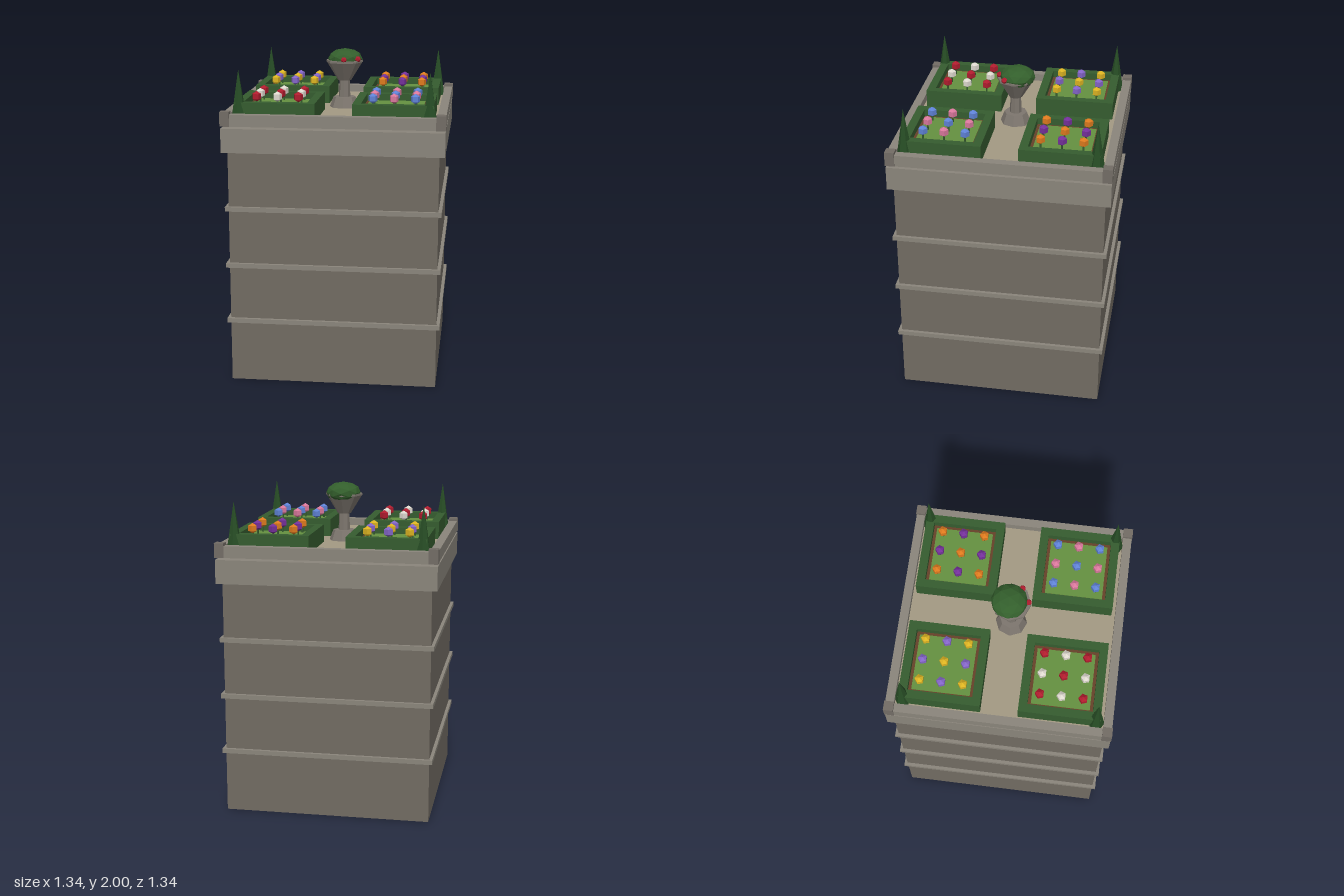
import * as THREE from 'three';

const mat = (color) => new THREE.MeshStandardMaterial({ color, flatShading: true });
const M = {
  wall: mat(0x716b62), trim: mat(0x8a857b), post: mat(0x726c65), deck: mat(0xa39983),
  hedge: mat(0x355c2f), soil: mat(0x664128), grass: mat(0x659040), cypress: mat(0x274d25),
  urn: mat(0x7d766e), shrub: mat(0x335f2c), red: mat(0xb01c2e), white: mat(0xded9cf),
  blue: mat(0x5f82d6), pink: mat(0xd9789c), yellow: mat(0xdcb322), lilac: mat(0x8465c8),
  orange: mat(0xdd7a1e), purple: mat(0x74309a),
};

function add(parent, name, geometry, material, x = 0, y = 0, z = 0) {
  const mesh = new THREE.Mesh(geometry, material);
  mesh.name = name;
  mesh.position.set(x, y, z);
  parent.add(mesh);
  return mesh;
}

// Box given by its centre in plan and its bottom and top heights
function block(parent, name, material, w, d, y0, y1, x = 0, z = 0) {
  return add(parent, name, new THREE.BoxGeometry(w, y1 - y0, d), material, x, (y0 + y1) / 2, z);
}

// Square ring of four bars, half = outer half-width
function ring(parent, name, material, half, thick, y0, y1) {
  for (const s of [-1, 1]) {
    block(parent, name, material, half * 2, thick, y0, y1, 0, s * (half - thick / 2));
    block(parent, name, material, thick, (half - thick) * 2, y0, y1, s * (half - thick / 2), 0);
  }
}

// Five-sided blossom with a point towards the back
const blossom = new THREE.SphereGeometry(0.032, 5, 3).rotateY(-Math.PI / 2);
const stem = new THREE.CylinderGeometry(0.006, 0.006, 0.04, 5);

function flowerBed(sx, sz, colorA, colorB) {
  const bed = new THREE.Group();
  bed.name = 'flowerBed';
  bed.position.set(sx * 0.352, 0, sz * 0.352);
  ring(bed, 'hedge', M.hedge, 0.241, 0.05, 1.63, 1.74);
  block(bed, 'soilBorder', M.soil, 0.386, 0.386, 1.63, 1.697);
  block(bed, 'lawn', M.grass, 0.345, 0.345, 1.64, 1.702);
  for (let i = -1; i <= 1; i++) {
    for (let j = -1; j <= 1; j++) {
      const color = (i + j) % 2 === 0 ? colorA : colorB;
      add(bed, 'flowerStem', stem, M.hedge, i * 0.127, 1.72, j * 0.127);
      add(bed, 'flower', blossom, color, i * 0.127, 1.761, j * 0.127);
    }
  }
  return bed;
}

function planter() {
  const g = new THREE.Group();
  g.name = 'planter';
  const part = (name, rTop, rBottom, y0, y1) =>
    add(g, name, new THREE.CylinderGeometry(rTop, rBottom, y1 - y0, 8), M.urn, 0, (y0 + y1) / 2, 0);
  part('urnFoot', 0.07, 0.095, 1.63, 1.695);
  part('urnStem', 0.033, 0.037, 1.695, 1.8);
  part('urnBowl', 0.113, 0.042, 1.8, 1.915);
  part('urnRim', 0.117, 0.117, 1.915, 1.928);
  // Flattened faceted shrub with two red blooms
  const shrub = add(g, 'shrub', new THREE.IcosahedronGeometry(0.11, 1), M.shrub, 0.003, 1.934, -0.012);
  shrub.scale.y = 0.6;
  const bloom = new THREE.IcosahedronGeometry(0.02, 0);
  add(g, 'bloom', bloom, M.red, 0.007, 1.938, 0.1);
  add(g, 'bloom', bloom, M.red, 0.09, 1.938, 0.055);
  return g;
}

export function createModel() {
  const model = new THREE.Group();
  model.name = 'roofGardenTower';

  // Tower with string courses and cornice
  block(model, 'towerBody', M.wall, 1.266, 1.266, 0, 1.45);
  for (const y of [0.39, 0.743, 1.097]) block(model, 'stringCourse', M.trim, 1.306, 1.306, y - 0.014, y + 0.014);
  block(model, 'cornice', M.trim, 1.334, 1.334, 1.447, 1.593);

  // Roof deck and parapet, a thin shadow gap above the cornice
  block(model, 'roofDeck', M.deck, 1.24, 1.24, 1.606, 1.63);
  ring(model, 'parapet', M.trim, 0.667, 0.052, 1.606, 1.677);

  const cypress = new THREE.ConeGeometry(0.05, 0.305, 6);
  for (const sx of [-1, 1]) {
    for (const sz of [-1, 1]) {
      block(model, 'cornerPost', M.post, 0.058, 0.058, 1.606, 1.694, sx * 0.641, sz * 0.641);
      add(model, 'cypress', cypress, M.cypress, sx * 0.57, 1.7825, sz * 0.57);
    }
  }

  // Four planted quarters around the central urn
  model.add(flowerBed(-1, 1, M.red, M.white));
  model.add(flowerBed(1, 1, M.blue, M.pink));
  model.add(flowerBed(-1, -1, M.yellow, M.lilac));
  model.add(flowerBed(1, -1, M.orange, M.purple));
  model.add(planter());
  return model;
}
